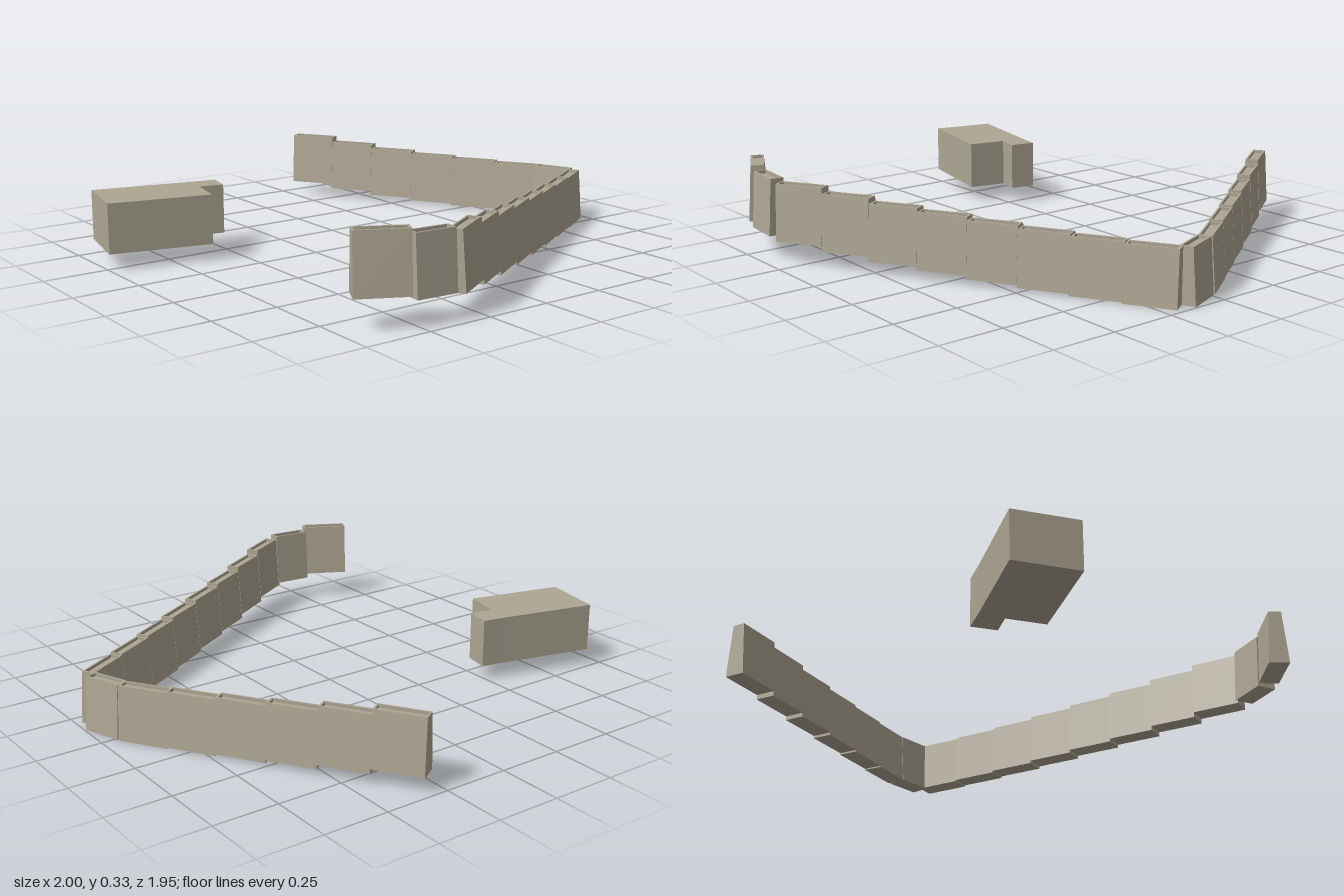
import * as THREE from 'three';

const stone = new THREE.MeshStandardMaterial({ color: 0xaea694 });
stone.name = 'weathered stone';

// One wall block: battered sides, raised rim around a sunken walkway
function blockGeometry(length, height) {
  const l = length / 2;
  const rings = [
    [l, 0.04, 0],
    [l, 0.025, height],
    [l - 0.008, 0.018, height],
    [l - 0.008, 0.018, height - 0.012],
  ].map(([x, z, y]) => [[x, y, z], [x, y, -z], [-x, y, -z], [-x, y, z]]);
  const pos = [];
  const quad = (a, b, c, d) => pos.push(...a, ...b, ...c, ...a, ...c, ...d);
  for (let r = 0; r < 3; r++) {
    for (let i = 0; i < 4; i++) {
      const j = (i + 1) % 4;
      quad(rings[r][i], rings[r][j], rings[r + 1][j], rings[r + 1][i]);
    }
  }
  quad(...rings[3]);
  quad(...[...rings[0]].reverse());
  const g = new THREE.BufferGeometry();
  g.setAttribute('position', new THREE.Float32BufferAttribute(pos, 3));
  g.computeVertexNormals();
  return g;
}

// A straight run of equal blocks, stepping through the given base heights
function wallRun(name, [x0, z0], [x1, z1], bases) {
  const run = new THREE.Group();
  run.name = name;
  const dx = x1 - x0, dz = z1 - z0, n = bases.length;
  bases.forEach((base, i) => {
    const t = (i + 0.5) / n;
    const block = new THREE.Mesh(blockGeometry(Math.hypot(dx, dz) / n, 0.206 + base * 0.1), stone);
    block.name = 'wallBlock' + (i + 1);
    block.position.set(x0 + dx * t, base, z0 + dz * t);
    block.rotation.y = -Math.atan2(dz, dx);
    run.add(block);
  });
  return run;
}

export function createModel() {
  const model = new THREE.Group();
  model.name = 'ruinedFortWalls';

  // Curtain walls
  model.add(
    wallRun('rearWall', [0.296, -0.955], [0.908, 0.004], [0.057, 0.038, 0.022, 0.012, 0.005, 0]),
    wallRun('cornerWall', [0.905, 0.004], [0.958, 0.145], [0]),
    wallRun('frontWall', [0.957, 0.166], [-0.347, 0.933],
      [0, 0.005, 0.012, 0.022, 0.034, 0.046, 0.063, 0.083]),
    wallRun('bendWall', [-0.362, 0.933], [-0.517, 0.92], [0.095]),
    wallRun('endWall', [-0.524, 0.927], [-0.692, 0.84], [0.112]),
  );

  // Keep with an attached wing, as one L-shaped block
  const plan = [[-1, -0.23], [-0.62, -0.139], [-0.588, -0.289], [-0.497, -0.267],
    [-0.476, -0.366], [-0.572, -0.386], [-0.947, -0.476]];
  const shape = new THREE.Shape(plan.map(([x, z]) => new THREE.Vector2(x, -z)));
  const geo = new THREE.ExtrudeGeometry(shape, { depth: 0.19, bevelEnabled: false });
  geo.rotateX(-Math.PI / 2);
  const keep = new THREE.Mesh(geo, stone);
  keep.name = 'keep';
  keep.position.y = 0.062;
  model.add(keep);

  return model;
}
